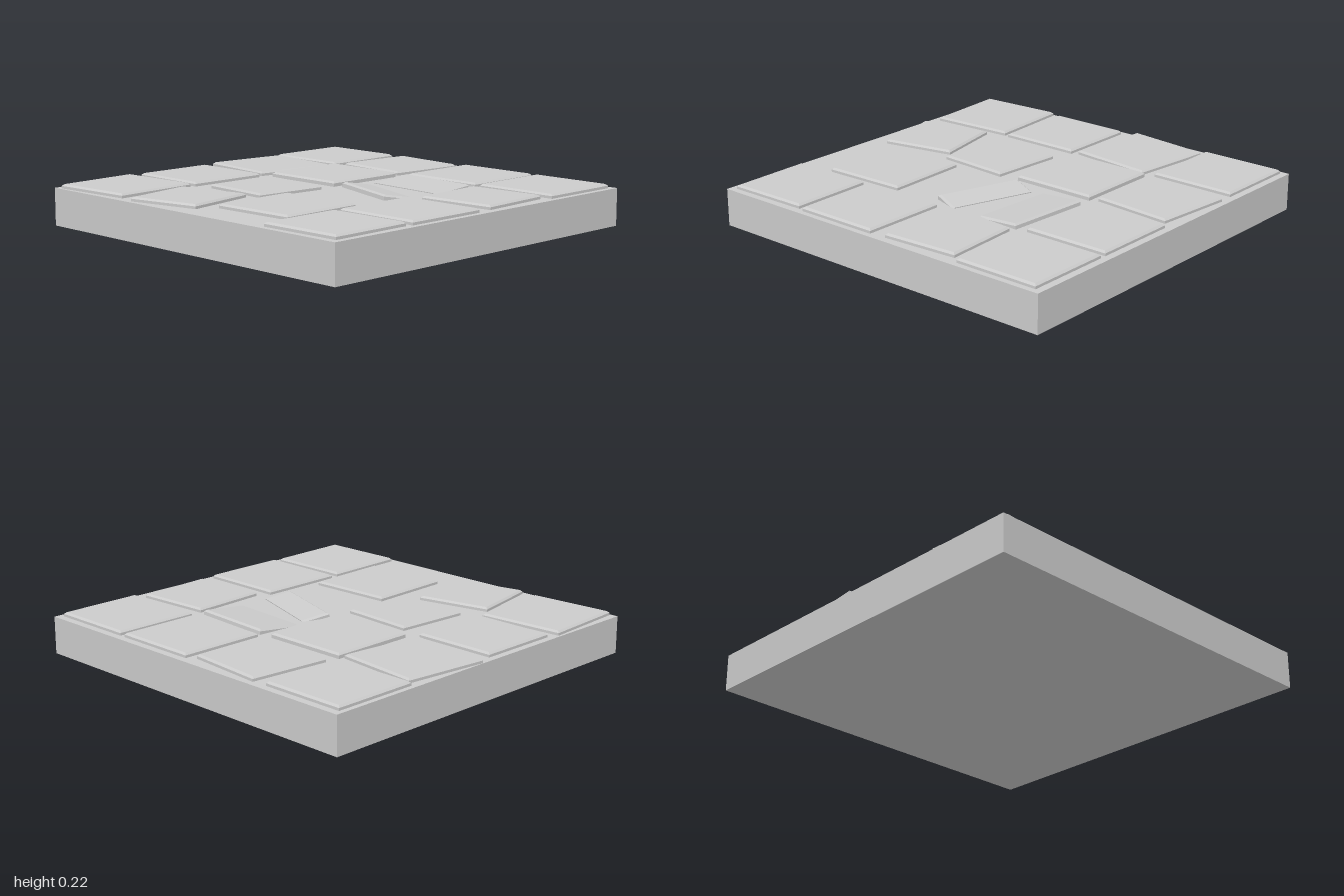
import * as THREE from 'three';

const BASE_H = 0.193, TILE_BOTTOM = 0.17, TILE_TOP = 0.215, BEVEL = 0.011;

// Slab with a chamfered top rim; cutSide (-1 or +1) leaves that x side square, 0 bevels all sides
function slabGeometry(w, d, cutSide = 0) {
  const h = TILE_TOP - TILE_BOTTOM;
  const geo = new THREE.BoxGeometry(w, h, d, 1, 2, 1);
  const p = geo.attributes.position;
  for (let i = 0; i < p.count; i++) {
    const sx = Math.sign(p.getX(i)), sz = Math.sign(p.getZ(i)), y = p.getY(i);
    if (y > h / 4) {
      if (sx !== cutSide) p.setX(i, p.getX(i) - sx * BEVEL);
      p.setZ(i, p.getZ(i) - sz * BEVEL);
    } else if (y > -h / 4) {
      p.setY(i, h / 2 - 0.009);
    }
  }
  geo.translate(0, -h / 2, 0); // origin at the middle of the top face
  const flat = geo.toNonIndexed();
  flat.computeVertexNormals();
  return flat;
}

export function createModel() {
  const group = new THREE.Group();
  const stone = new THREE.MeshStandardMaterial({ color: 0xcccccc, flatShading: true });

  const add = (name, geo, x, y, z, yaw = 0, roll = 0) => {
    const mesh = new THREE.Mesh(geo, stone);
    mesh.name = name;
    mesh.position.set(x, y, z);
    mesh.rotation.set(0, yaw, roll, 'YXZ');
    group.add(mesh);
  };

  // Bedding block
  add('base', new THREE.BoxGeometry(2, BASE_H, 2), 0, BASE_H / 2, 0);

  // Whole paving slabs: x, z, side, yaw, extra height
  const slabs = [
    [-0.745, -0.747, 0.455, 0.065, 0],
    [-0.257, -0.747, 0.437, 0, 0],
    [0.245, -0.747, 0.453, -0.11, 0],
    [0.735, -0.747, 0.455, 0, 0],
    [-0.746, -0.256, 0.393, 0.205, 0],
    [-0.27, -0.222, 0.393, -0.067, 0],
    [0.243, -0.258, 0.455, 0, 0.004],
    [0.738, -0.246, 0.424, -0.088, 0],
    [-0.572, 0.253, 0.452, 0.033, 0],
    [0.735, 0.256, 0.455, 0, 0],
    [-0.745, 0.743, 0.442, 0.018, 0],
    [-0.258, 0.743, 0.455, 0, 0],
    [0.248, 0.745, 0.407, 0.062, 0],
    [0.735, 0.743, 0.455, 0, 0],
  ];
  slabs.forEach(([x, z, s, yaw, lift], i) =>
    add('slab' + (i + 1), slabGeometry(s, s), x, TILE_TOP + lift, z, yaw));

  // Two halves of a broken slab, each sinking towards its square broken edge
  add('brokenSlabNarrow', slabGeometry(0.152, 0.45, 1), 0.043, 0.209, 0.243, -0.325, -0.16);
  add('brokenSlabWide', slabGeometry(0.238, 0.45, -1), 0.342, 0.208, 0.262, -0.068, 0.095);

  return group;
}
